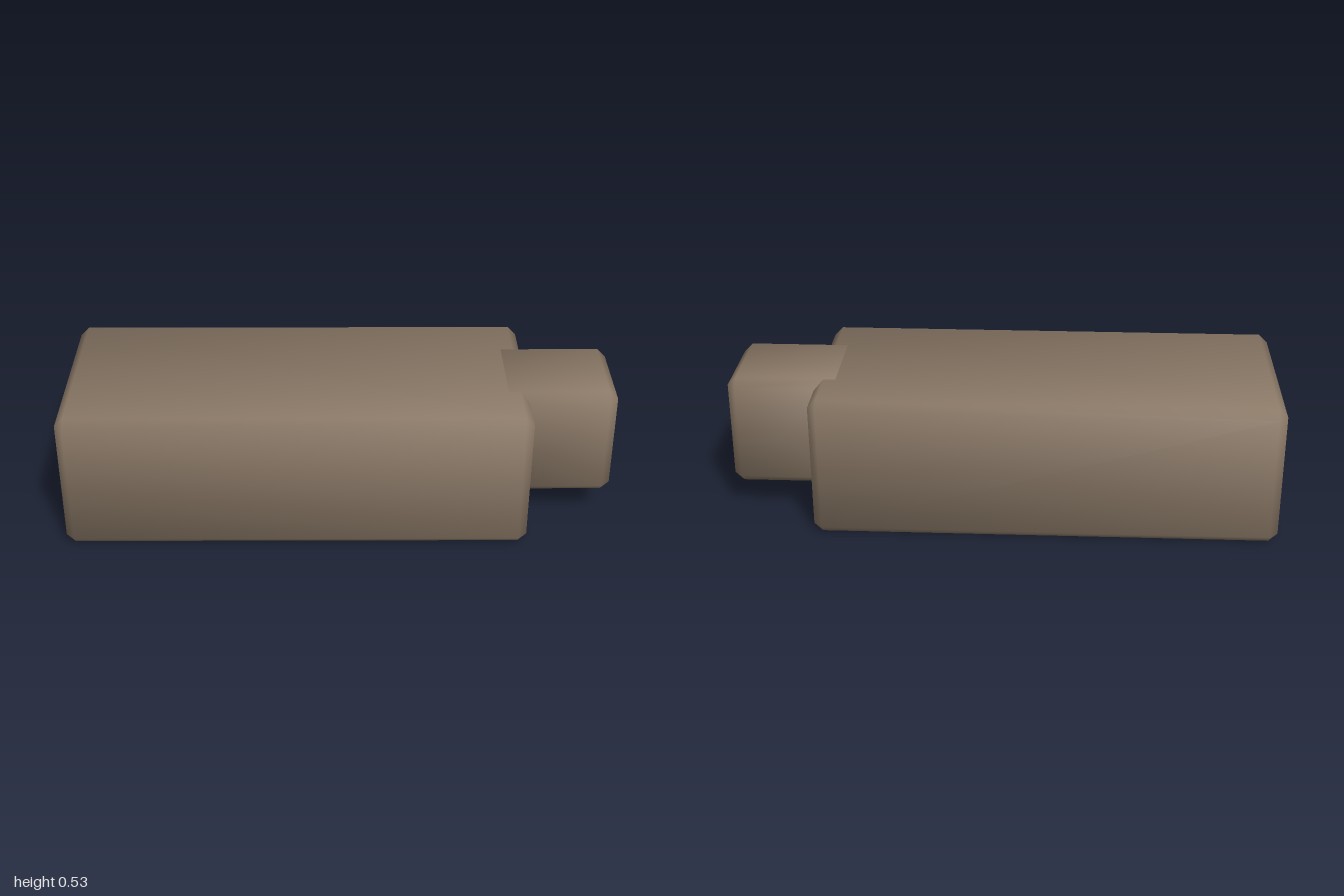
import * as THREE from 'three';
import { ConvexGeometry } from 'three/addons/geometries/ConvexGeometry.js';

// Box with chamfered edges and corners, shaded softly across the chamfers
function chamferedBox(min, max, c) {
  const lo = new THREE.Vector3(...min), hi = new THREE.Vector3(...max);
  const half = hi.clone().sub(lo).multiplyScalar(0.5);
  const centre = lo.clone().add(hi).multiplyScalar(0.5);
  const points = [];
  for (const sx of [-1, 1]) for (const sy of [-1, 1]) for (const sz of [-1, 1]) {
    for (let axis = 0; axis < 3; axis++) {
      const p = half.clone().subScalar(c);
      p.setComponent(axis, half.getComponent(axis));
      points.push(p.multiply(new THREE.Vector3(sx, sy, sz)));
    }
  }
  const geometry = new ConvexGeometry(points);

  // Normal of each vertex: mean of its face, two edge chamfers and corner
  const pos = geometry.attributes.position, normal = geometry.attributes.normal;
  const p = new THREE.Vector3(), n = new THREE.Vector3();
  for (let i = 0; i < pos.count; i++) {
    p.fromBufferAttribute(pos, i);
    for (let a = 0; a < 3; a++) {
      const v = p.getComponent(a);
      const onFace = Math.abs(v) > half.getComponent(a) - c / 2;
      n.setComponent(a, Math.sign(v) * (onFace ? 2.99 : 1.28));
    }
    n.normalize();
    normal.setXYZ(i, n.x, n.y, n.z);
  }
  return geometry.translate(centre.x, centre.y, centre.z);
}

export function createModel() {
  const brown = new THREE.MeshStandardMaterial({ color: 0x8a7866 });
  brown.name = 'brown';
  const group = new THREE.Group();
  group.name = 'block';

  function add(name, min, max) {
    const mesh = new THREE.Mesh(chamferedBox(min, max, 0.031), brown);
    mesh.name = name;
    group.add(mesh);
  }

  // Long main block
  add('body', [-1, 0, -0.368], [0.68, 0.525, 0.368]);
  // Smaller block set into the +x end, level with the top
  add('endBlock', [0.575, 0.107, -0.188], [1, 0.526, 0.188]);
  return group;
}
